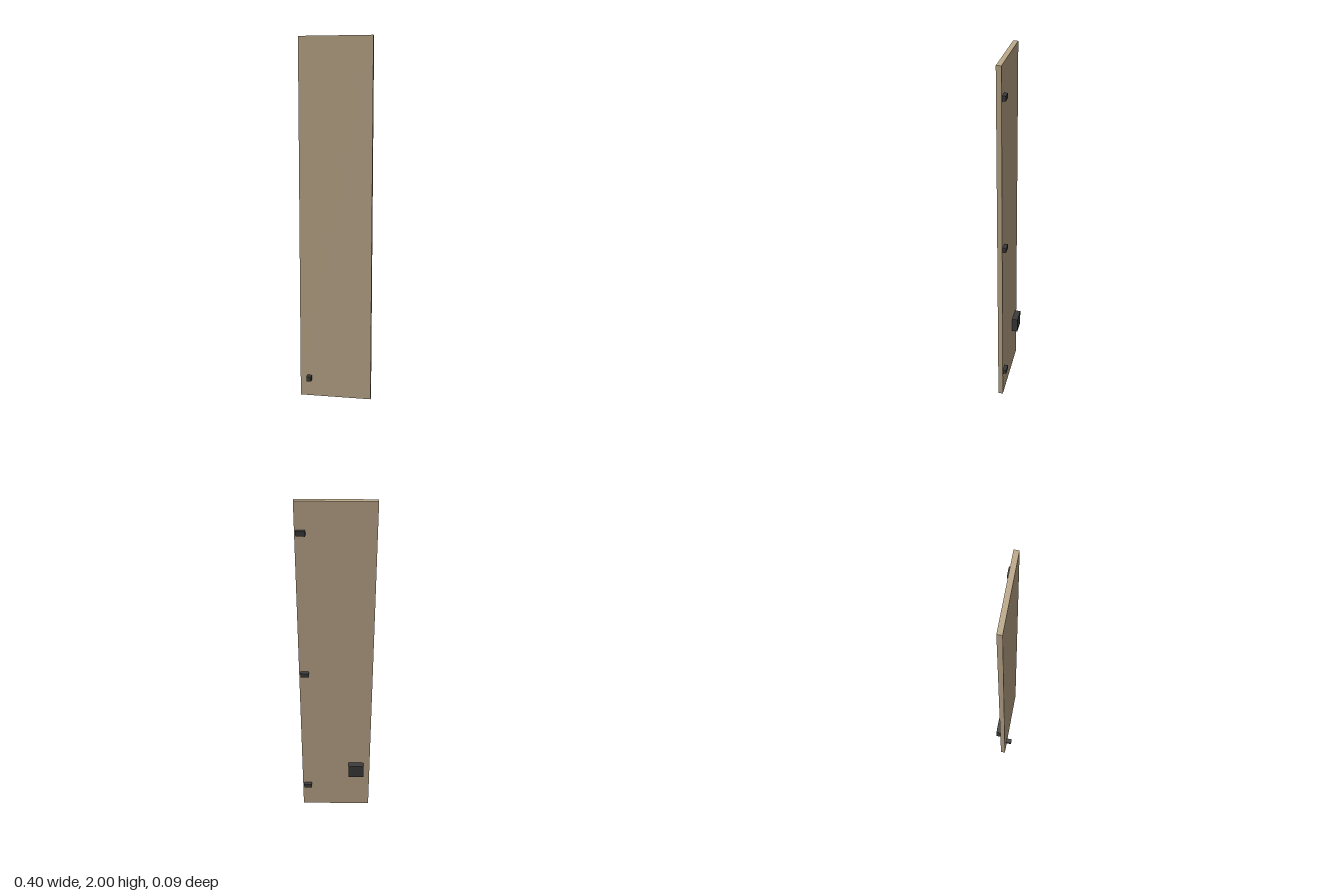
import * as THREE from 'three';

export function createModel() {
  const wood = new THREE.MeshStandardMaterial({ name: 'wood', color: 0xbfab8c });
  const darkMetal = new THREE.MeshStandardMaterial({ name: 'darkMetal', color: 0x3c3c3c });
  const group = new THREE.Group();
  group.name = 'cabinetDoor';

  // Box spanning from one corner to the opposite corner
  const addBox = (name, material, [x0, y0, z0], [x1, y1, z1]) => {
    const mesh = new THREE.Mesh(new THREE.BoxGeometry(x1 - x0, y1 - y0, z1 - z0), material);
    mesh.position.set((x0 + x1) / 2, (y0 + y1) / 2, (z0 + z1) / 2);
    mesh.name = name;
    group.add(mesh);
  };

  const back = -0.015, front = 0.0115;

  // Door panel
  addBox('panel', wood, [-0.201, 0, back], [0.201, 2, front]);

  // Knob on the front, lock case on the back
  addBox('knob', darkMetal, [-0.161, 0.095, front], [-0.135, 0.122, 0.045]);
  addBox('lockCase', darkMetal, [-0.166, 0.257, -0.047], [-0.075, 0.345, back]);

  // Three hinges along the left edge of the back
  [0.165, 1.003, 1.841].forEach((y, i) => {
    addBox(`hinge${i + 1}`, darkMetal, [0.147, y - 0.013, -0.034], [0.194, y + 0.013, back]);
  });

  return group;
}
